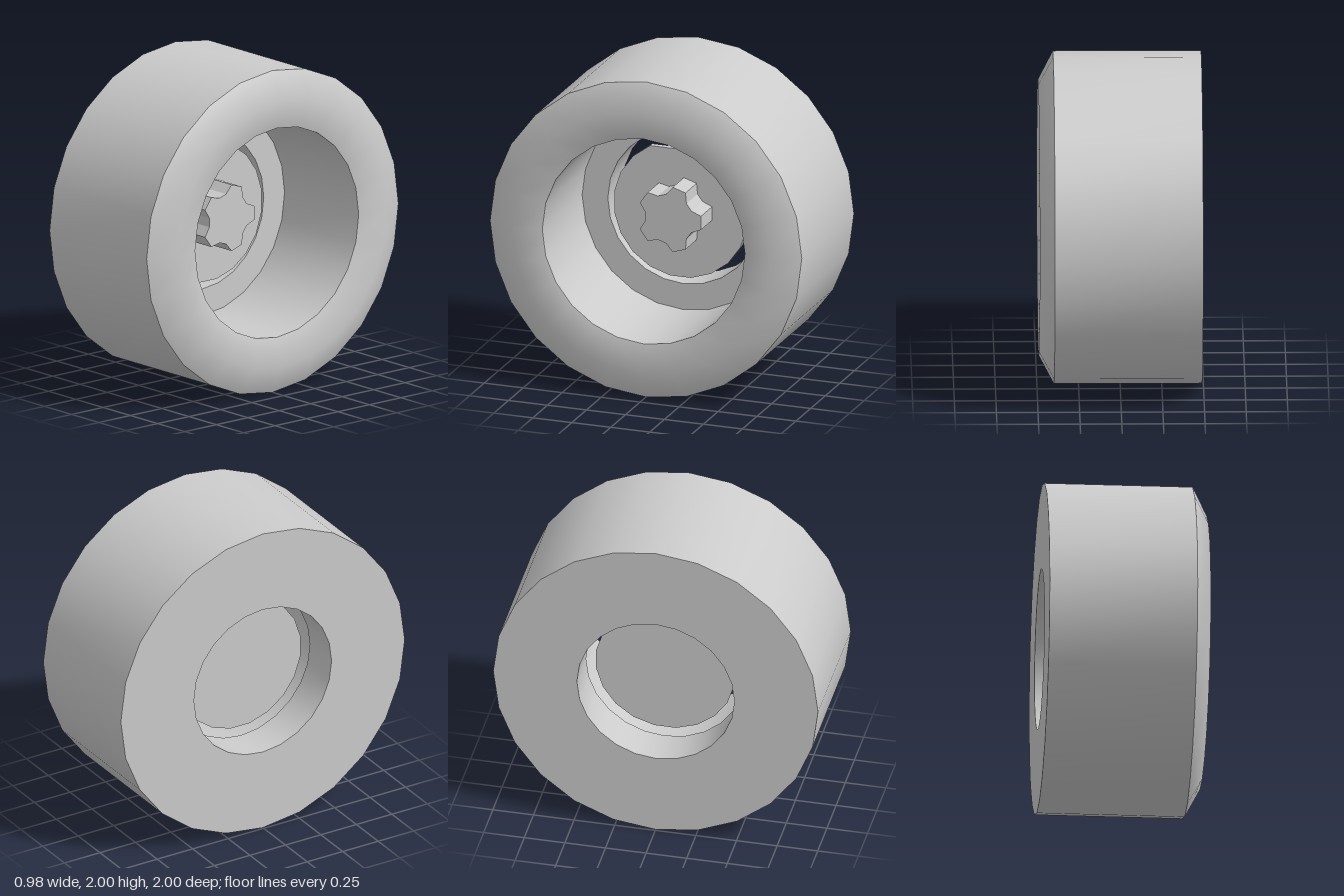
import * as THREE from 'three';
import { toCreasedNormals } from 'three/addons/utils/BufferGeometryUtils.js';

const material = new THREE.MeshStandardMaterial({ color: 0xcccccc });
const CENTRE_Y = 1;

// Vector2 at a radius and an angle in degrees
function polar(radius, degrees) {
  const a = THREE.MathUtils.degToRad(degrees);
  return new THREE.Vector2(radius * Math.cos(a), radius * Math.sin(a));
}

// Flat outline pushed along the wheel axis from x0 to x1
function axialPrism(name, points, x0, x1) {
  const geometry = new THREE.ExtrudeGeometry(new THREE.Shape(points), {
    depth: x1 - x0,
    bevelEnabled: false,
  });
  geometry.translate(0, 0, x0).rotateY(Math.PI / 2);
  const mesh = new THREE.Mesh(toCreasedNormals(geometry, 0.45), material);
  mesh.name = name;
  mesh.position.y = CENTRE_Y;
  return mesh;
}

export function createModel() {
  const group = new THREE.Group();
  group.name = 'wheel';

  // Ring: tread, crowned outer face, wide bore, inner shelf and narrow rear hole
  const profile = [
    [0.485, -0.49], [1, -0.49], [1, 0.4], [0.83, 0.49],
    [0.65, 0.44], [0.65, -0.24], [0.485, -0.24], [0.485, -0.49],
  ].map(([r, x]) => new THREE.Vector2(r, x));
  const ringGeometry = new THREE.LatheGeometry(profile, 24).rotateZ(-Math.PI / 2);
  const ring = new THREE.Mesh(toCreasedNormals(ringGeometry, 0.85), material);
  ring.name = 'wheelRing';
  ring.position.y = CENTRE_Y;
  group.add(ring);

  // Hub disc: twenty-sided, with two corners left out for a flat top
  const disc = [];
  for (let i = 0; i < 20; i++) {
    const degrees = 9 + 18 * i;
    if (Math.abs(degrees - 90) > 10) disc.push(polar(0.43, degrees));
  }
  group.add(axialPrism('hubDisc', disc, -0.23, -0.19));

  // Five-lobed post standing on the disc
  const star = [];
  for (let i = 0; i < 5; i++) {
    const a = 72 * i;
    star.push(polar(0.207, a - 12), polar(0.207, a + 12), polar(0.157, a + 26), polar(0.157, a + 46));
  }
  group.add(axialPrism('hubPost', star, -0.2, 0));

  return group;
}
